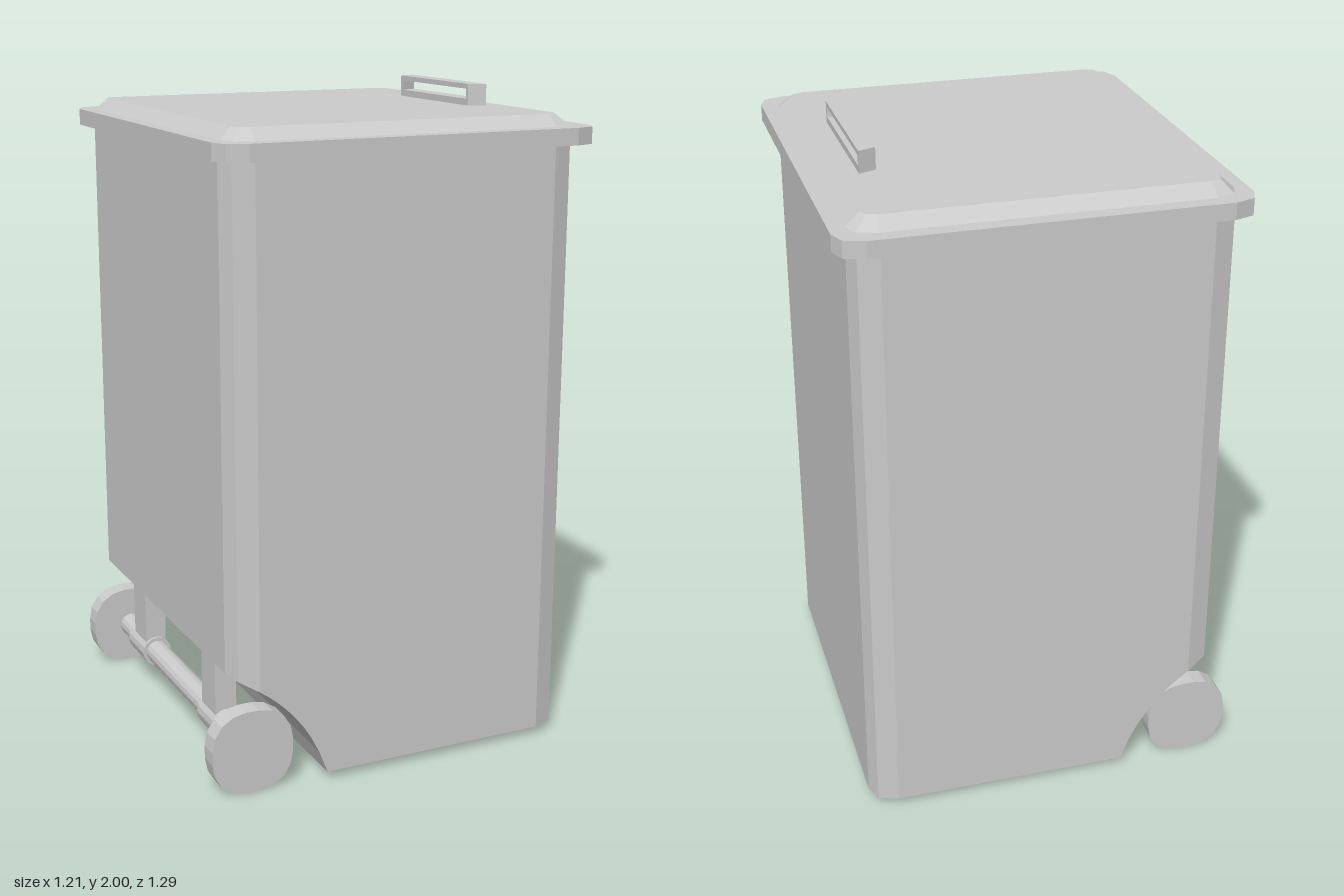
import * as THREE from 'three';

const material = new THREE.MeshStandardMaterial({ color: 0xcccccc, flatShading: true });

function add(parent, name, geometry, x = 0, y = 0, z = 0) {
  const mesh = new THREE.Mesh(geometry, material);
  mesh.name = name;
  mesh.position.set(x, y, z);
  parent.add(mesh);
  return mesh;
}

// Half of a rectangle with two-step rounded corners, from back (x0) to front (x1)
function halfOutline(x0, x1, zHalf, r) {
  const back = [[0, 0.9 * r], [0.25 * r, 0.25 * r], [r, 0]];
  return [
    ...back.map(([dx, dz]) => [x0 + dx, zHalf - dz]),
    ...back.slice().reverse().map(([dx, dz]) => [x1 - dx, zHalf - dz]),
  ];
}

const atHeight = (outline, y) => outline.map(([x, z]) => [x, y, z]);

// Closed solid between a lower and an upper half outline, mirrored in z
function solid(lower, upper) {
  const pos = [];
  const m = ([x, y, z]) => [x, y, -z];
  const quad = (a, b, c, d) => pos.push(...a, ...b, ...c, ...a, ...c, ...d);
  const n = lower.length - 1;
  for (let i = 0; i < n; i++) {
    const [l0, l1, u0, u1] = [lower[i], lower[i + 1], upper[i], upper[i + 1]];
    quad(l0, l1, u1, u0);
    quad(m(l1), m(l0), m(u0), m(u1));
    quad(u0, u1, m(u1), m(u0));
    quad(m(l0), m(l1), l1, l0);
  }
  quad(lower[n], m(lower[n]), m(upper[n]), upper[n]);
  quad(m(lower[0]), lower[0], upper[0], m(upper[0]));
  const g = new THREE.BufferGeometry();
  g.setAttribute('position', new THREE.Float32BufferAttribute(pos, 3));
  g.computeVertexNormals();
  return g;
}

// Bin body, with an arched cutout over the axle along its lower edge
function bodyGeometry() {
  const outline = halfOutline(-0.545, 0.555, 0.6, 0.08);
  const arc = [];
  for (let i = 1; i <= 8; i++) arc.push([-0.465 + (0.215 * i) / 8, 0.6]);
  outline.splice(3, 0, ...arc);
  const floor = (x) => {
    const d = 0.54 ** 2 - (x + 0.77) ** 2;
    return x > -0.251 ? 0.03 : Math.max(0.03, Math.sqrt(d) - 0.12);
  };
  return solid(outline.map(([x, z]) => [x, floor(x), z]), atHeight(outline, 1.86));
}

// Handle: a slotted bar whose ends flare outward toward the front
function handleGeometry() {
  const rect = (P, w, y0, y1) => {
    const p = new P();
    p.moveTo(-w, y0);
    p.lineTo(w, y0);
    p.lineTo(w, y1);
    p.lineTo(-w, y1);
    p.closePath();
    return p;
  };
  const shape = rect(THREE.Shape, 0.217, 1.93, 2);
  shape.holes.push(rect(THREE.Path, 0.205, 1.955, 1.985));
  const g = new THREE.ExtrudeGeometry(shape, { depth: 0.052, bevelEnabled: false });
  const p = g.attributes.position;
  for (let i = 0; i < p.count; i++) {
    if (p.getZ(i) > 0.01) p.setX(i, p.getX(i) + 0.02 * Math.sign(p.getX(i)));
  }
  g.rotateY(Math.PI / 2);
  g.computeVertexNormals();
  return g;
}

// Slightly squared-off wheel disc
function wheelGeometry(radius, width) {
  const points = [];
  const n = 20;
  for (let i = 0; i < n; i++) {
    const a = ((i + 0.5) / n) * Math.PI * 2;
    const c = Math.cos(a), s = Math.sin(a);
    const k = radius / (Math.abs(c) ** 2.5 + Math.abs(s) ** 2.5) ** 0.4;
    points.push(new THREE.Vector2(c * k, s * k));
  }
  const g = new THREE.ExtrudeGeometry(new THREE.Shape(points), { depth: width, bevelEnabled: false });
  return g.translate(0, 0, -width / 2);
}

const rod = (r, length) => new THREE.CylinderGeometry(r, r, length, 16).rotateX(Math.PI / 2);

export function createModel() {
  const model = new THREE.Group();
  model.name = 'wheeledBin';

  add(model, 'body', bodyGeometry());

  // Lid: overhanging rim and bevelled raised panel
  const lid = new THREE.Group();
  lid.name = 'lid';
  model.add(lid);
  const rim = halfOutline(-0.58, 0.6, 0.645, 0.08);
  add(lid, 'lidRim', solid(atHeight(rim, 1.85), atHeight(rim, 1.9)));
  add(lid, 'lidPanel', solid(
    atHeight(halfOutline(-0.545, 0.56, 0.603, 0.08), 1.895),
    atHeight(halfOutline(-0.5, 0.51, 0.556, 0.04), 1.935),
  ));
  add(lid, 'lidHandle', handleGeometry(), 0.401, 0, 0);

  // Axle, wheels and the brackets that hold them
  const undercarriage = new THREE.Group();
  undercarriage.name = 'undercarriage';
  undercarriage.position.set(-0.478, 0.131, 0);
  model.add(undercarriage);
  add(undercarriage, 'axle', rod(0.037, 1.06));
  for (const side of [-1, 1]) {
    add(undercarriage, 'wheel', wheelGeometry(0.128, 0.062), 0, 0, side * 0.544);
    add(undercarriage, 'axleCollar', rod(0.048, 0.15), 0, 0, side * 0.32);
    add(undercarriage, 'axleBracket', new THREE.BoxGeometry(0.068, 0.25, 0.11), 0, 0.125, side * 0.31);
  }
  return model;
}
